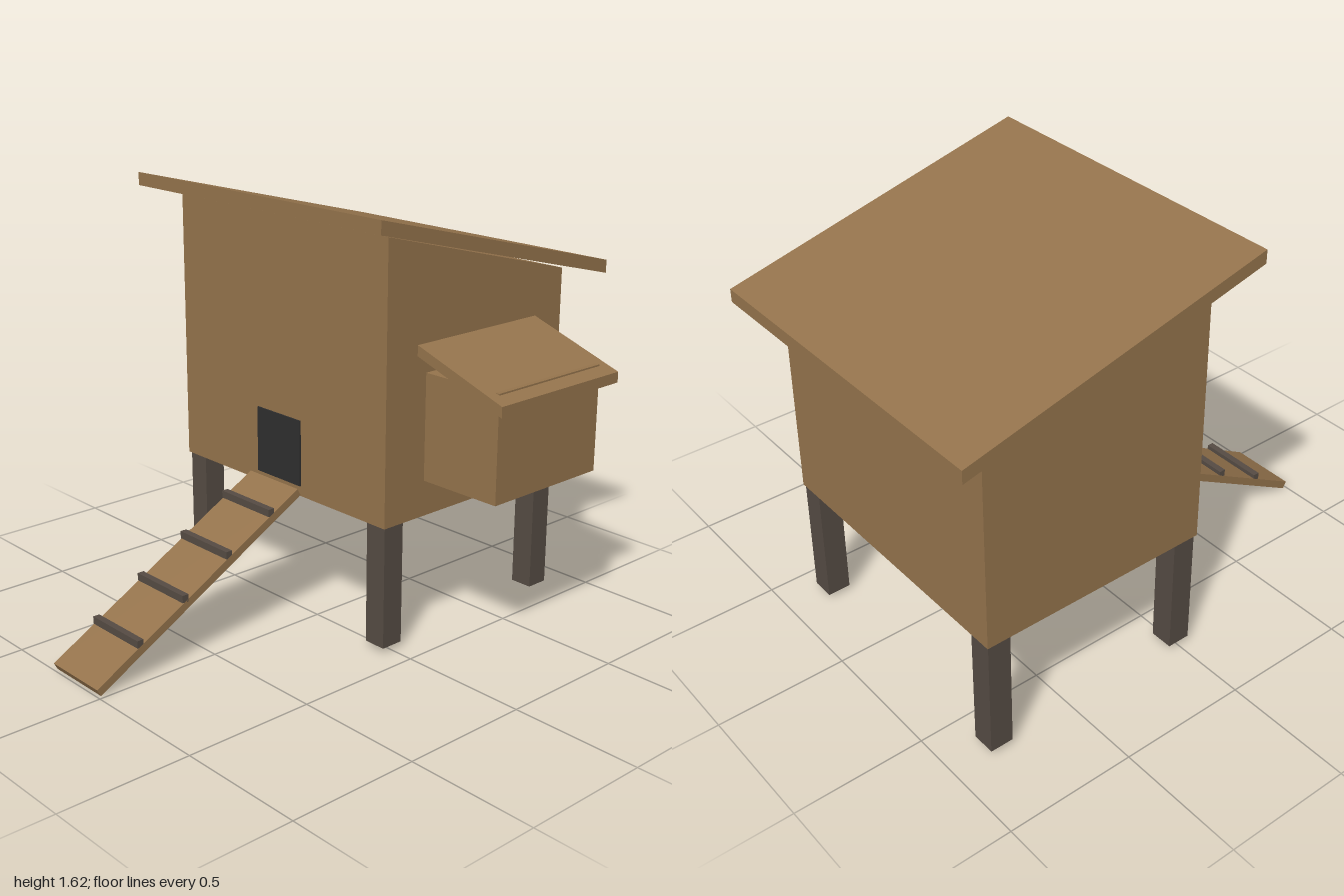
import * as THREE from 'three';

const wood = new THREE.MeshStandardMaterial({ color: 0x94734c });
wood.name = 'wood';
const darkWood = new THREE.MeshStandardMaterial({ color: 0x554b43 });
darkWood.name = 'dark wood';
const charcoal = new THREE.MeshStandardMaterial({ color: 0x2e2e2e });
charcoal.name = 'charcoal';

// Box given by its min and max on each axis
function box(name, material, [x0, x1], [y0, y1], [z0, z1]) {
  const mesh = new THREE.Mesh(new THREE.BoxGeometry(x1 - x0, y1 - y0, z1 - z0), material);
  mesh.position.set((x0 + x1) / 2, (y0 + y1) / 2, (z0 + z1) / 2);
  mesh.name = name;
  return mesh;
}

function extrude(points, depth) {
  const shape = new THREE.Shape(points.map(([a, b]) => new THREE.Vector2(a, b)));
  return new THREE.ExtrudeGeometry(shape, { depth, bevelEnabled: false });
}

// Side profile of (z, y) points swept from x0 to x1
function sideProfile(name, points, x0, x1) {
  const geometry = extrude(points.map(([z, y]) => [-z, y]), x1 - x0);
  geometry.rotateY(Math.PI / 2).translate(x0, 0, 0);
  const mesh = new THREE.Mesh(geometry, wood);
  mesh.name = name;
  return mesh;
}

export function createModel() {
  const model = new THREE.Group();
  model.name = 'henHouse';

  // House with sloping top, and its overhanging roof
  model.add(sideProfile('house', [[0.055, 0.49], [0.055, 1.533], [-0.86, 1.295], [-0.86, 0.49]], -0.71, 0.413));
  model.add(sideProfile('roof', [[0.185, 1.57], [0.185, 1.62], [-1, 1.32], [-1, 1.27]], -0.81, 0.51));

  // Legs
  for (const x of [-0.66, 0.36]) {
    for (const z of [0, -0.81]) {
      model.add(box('leg', darkWood, [x - 0.045, x + 0.045], [0.02, 0.49], [z - 0.045, z + 0.045]));
    }
  }

  // Doorway
  model.add(box('doorway', charcoal, [-0.27, -0.03], [0.53, 0.785], [0.053, 0.061]));

  // Nest box with sloping lid
  model.add(box('nestBox', wood, [0.41, 0.752], [0.625, 1.027], [-0.675, -0.14]));
  const lidGeometry = extrude([[0.413, 1.095], [0.805, 0.963], [0.805, 1.003], [0.413, 1.135]], 0.62);
  const lid = new THREE.Mesh(lidGeometry.translate(0, 0, -0.715), wood);
  lid.name = 'nestBoxLid';
  model.add(lid);

  // Ramp with cleats
  model.add(sideProfile('ramp', [[1, 0.027], [0.985, 0], [0.07, 0.503], [0.085, 0.53]], -0.285, -0.015));
  for (let i = 0; i < 4; i++) {
    const y = 0.14 + i * 0.11;
    const z = 0.813 - i * 0.2;
    model.add(box('cleat', darkWood, [-0.285, -0.015], [y - 0.014, y + 0.014], [z - 0.013, z + 0.013]));
  }

  return model;
}
